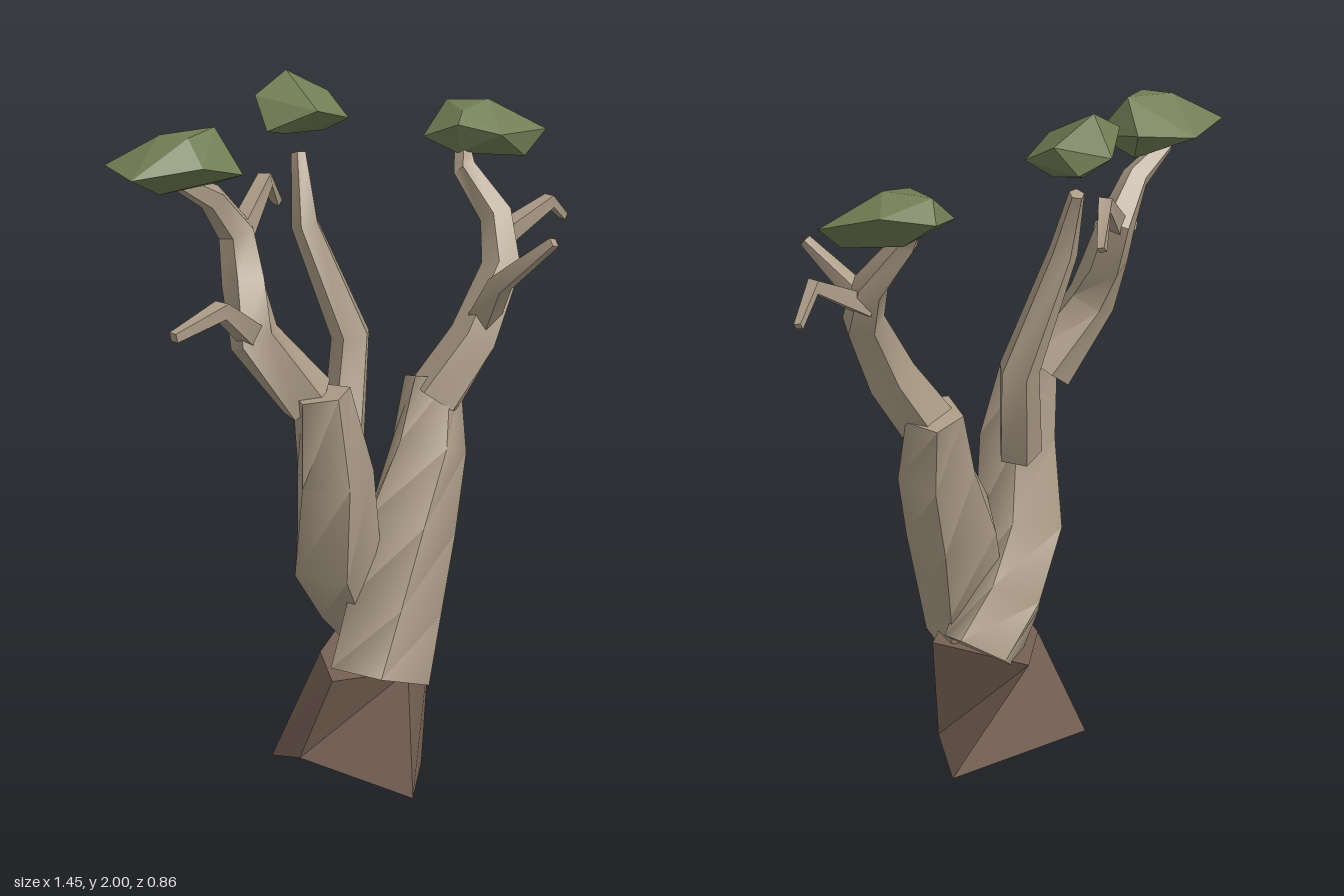
import * as THREE from 'three';
import { toCreasedNormals } from 'three/addons/utils/BufferGeometryUtils.js';
import { ConvexGeometry } from 'three/addons/geometries/ConvexGeometry.js';

const V = (p) => new THREE.Vector3(p[0], p[1], p[2]);

function material(name, color) {
  const m = new THREE.MeshStandardMaterial({ color });
  m.name = name;
  return m;
}

// Closed skin over a stack of equal-sized rings, with hard edges kept
function loft(rings, crease) {
  const pos = [];
  const tri = (...pts) => pts.forEach((p) => pos.push(p.x, p.y, p.z));
  const n = rings[0].length;
  const centre = (ring) => ring.reduce((s, p) => s.add(p), new THREE.Vector3()).divideScalar(n);
  const first = rings[0], last = rings[rings.length - 1];
  const c0 = centre(first), c1 = centre(last);
  for (let i = 0; i < n; i++) {
    const j = (i + 1) % n;
    for (let k = 0; k + 1 < rings.length; k++) {
      const a = rings[k], b = rings[k + 1];
      tri(a[i], a[j], b[j]);
      tri(a[i], b[j], b[i]);
    }
    tri(c0, first[j], first[i]);
    tri(c1, last[i], last[j]);
  }
  const g = new THREE.BufferGeometry();
  g.setAttribute('position', new THREE.Float32BufferAttribute(pos, 3));
  return toCreasedNormals(g, crease);
}

// Faceted limb along [x, y, z, radius] points, turning by `twist` at each point
function limb(path, sides, twist = 0, start = 0, crease = 0.75) {
  const pts = path.map(V);
  const rings = pts.map((p, k) => {
    const t = pts[Math.min(k + 1, pts.length - 1)].clone()
      .sub(pts[Math.max(k - 1, 0)]).normalize();
    const u = new THREE.Vector3(0, 0, 1).addScaledVector(t, -t.z).normalize();
    const v = t.clone().cross(u);
    return Array.from({ length: sides }, (_, i) => {
      const a = start + k * twist + (i / sides) * Math.PI * 2;
      return p.clone().addScaledVector(u, Math.cos(a) * path[k][3])
        .addScaledVector(v, Math.sin(a) * path[k][3]);
    });
  });
  return loft(rings, crease);
}

export function createModel() {
  const group = new THREE.Group();
  const bark = material('bark', 0xab9b86);
  const root = material('darkBark', 0x766154);
  const leaf = material('leaf', 0x717d54);
  const add = (name, geometry, mat) => {
    const m = new THREE.Mesh(geometry, mat);
    m.name = name;
    group.add(m);
  };

  // Twisted stump on a three-cornered foot
  const bottom = [[-0.12, 0, 0.3], [0.07, 0, 0.15], [0.25, 0, -0.04], [-0.21, 0, -0.195], [-0.28, 0.08, 0]];
  const top = [[-0.04, 0.34, 0.2], [0.12, 0.34, 0.13], [0.08, 0.35, -0.19], [-0.12, 0.34, -0.08], [-0.245, 0.34, 0.1]];
  add('stump', loft([bottom.map(V), top.map(V)], 0.6), root);

  // Two trunks crossing over each other
  add('rightTrunk', limb([[0.11, 0.36, -0.04, 0.12], [0, 0.5, -0.05, 0.125], [-0.13, 0.67, -0.01, 0.135],
    [-0.18, 0.93, 0.04, 0.115], [-0.21, 1.17, 0.025, 0.085]], 5, 0.2, 0.3, 1.35), bark);
  add('leftTrunk', limb([[-0.07, 0.31, 0.115, 0.15], [0, 0.5, 0.095, 0.145], [0.08, 0.73, 0.08, 0.14],
    [0.17, 0.94, 0.07, 0.115], [0.22, 1.13, 0.04, 0.085]], 5, 0.15, -0.8, 1.35), bark);

  // Main branches
  add('rightBranch', limb([[-0.21, 1.14, -0.03, 0.085], [-0.34, 1.33, -0.1, 0.075], [-0.31, 1.47, -0.17, 0.065],
    [-0.29, 1.6, -0.22, 0.055], [-0.38, 1.71, -0.22, 0.04], [-0.5, 1.78, -0.24, 0.025]], 5, 0.1), bark);
  add('middleBranch', limb([[-0.02, 0.96, -0.08, 0.065], [0.07, 1.25, -0.14, 0.06],
    [-0.04, 1.58, -0.21, 0.042], [0, 1.77, -0.28, 0.022]], 5, 0.1), bark);
  add('leftBranch', limb([[0.2, 1.08, 0.07, 0.085], [0.3, 1.25, 0.13, 0.075], [0.41, 1.44, 0.13, 0.06],
    [0.46, 1.57, 0.06, 0.05], [0.42, 1.7, -0.03, 0.035], [0.45, 1.75, -0.07, 0.025]], 5, 0.1), bark);

  // Thin forked twigs
  const twigs = {
    rightOuterTwig: [[-0.35, 1.34, -0.1, 0.045], [-0.55, 1.47, 0, 0.03], [-0.72, 1.43, 0.005, 0.018]],
    rightBackTwig: [[-0.3, 1.58, -0.21, 0.04], [-0.12, 1.71, -0.29, 0.027], [-0.02, 1.62, -0.35, 0.015]],
    leftOuterTwig: [[0.45, 1.51, 0.08, 0.04], [0.61, 1.6, 0.13, 0.025], [0.72, 1.53, 0.09, 0.014]],
    leftFrontTwig: [[0.32, 1.3, 0.14, 0.05], [0.26, 1.44, 0.26, 0.037], [0.3, 1.58, 0.42, 0.018]],
  };
  for (const [name, path] of Object.entries(twigs)) add(name, limb(path, 4, 0, Math.PI / 4), bark);

  // Angular leaf clumps
  const clumps = {
    rightLeaves: [[-0.72, 1.82, -0.15], [-0.67, 1.83, -0.32], [-0.48, 1.82, -0.35], [-0.34, 1.84, -0.25],
      [-0.4, 1.8, -0.07], [-0.55, 1.84, -0.06], [-0.56, 1.91, -0.22], [-0.54, 1.91, -0.13], [-0.42, 1.92, -0.16],
      [-0.6, 1.76, -0.18], [-0.4, 1.755, -0.2]],
    middleLeaves: [[-0.13, 1.85, -0.27], [-0.11, 1.94, -0.34], [0.06, 1.91, -0.43], [0.11, 1.86, -0.36],
      [0.125, 1.93, -0.29], [0.1, 1.87, -0.18], [-0.04, 1.91, -0.16], [0, 2, -0.33],
      [-0.08, 1.84, -0.25], [0.07, 1.83, -0.25], [0.03, 1.83, -0.32]],
    leftLeaves: [[0.38, 1.78, -0.16], [0.55, 1.82, -0.23], [0.64, 1.84, -0.12], [0.68, 1.79, 0.05],
      [0.48, 1.8, 0.055], [0.39, 1.83, -0.03], [0.55, 1.88, -0.06], [0.5, 1.87, -0.18], [0.44, 1.86, -0.06],
      [0.42, 1.74, -0.06], [0.6, 1.72, 0.04], [0.52, 1.73, -0.1]],
  };
  for (const [name, pts] of Object.entries(clumps)) add(name, new ConvexGeometry(pts.map(V)), leaf);

  return group;
}
